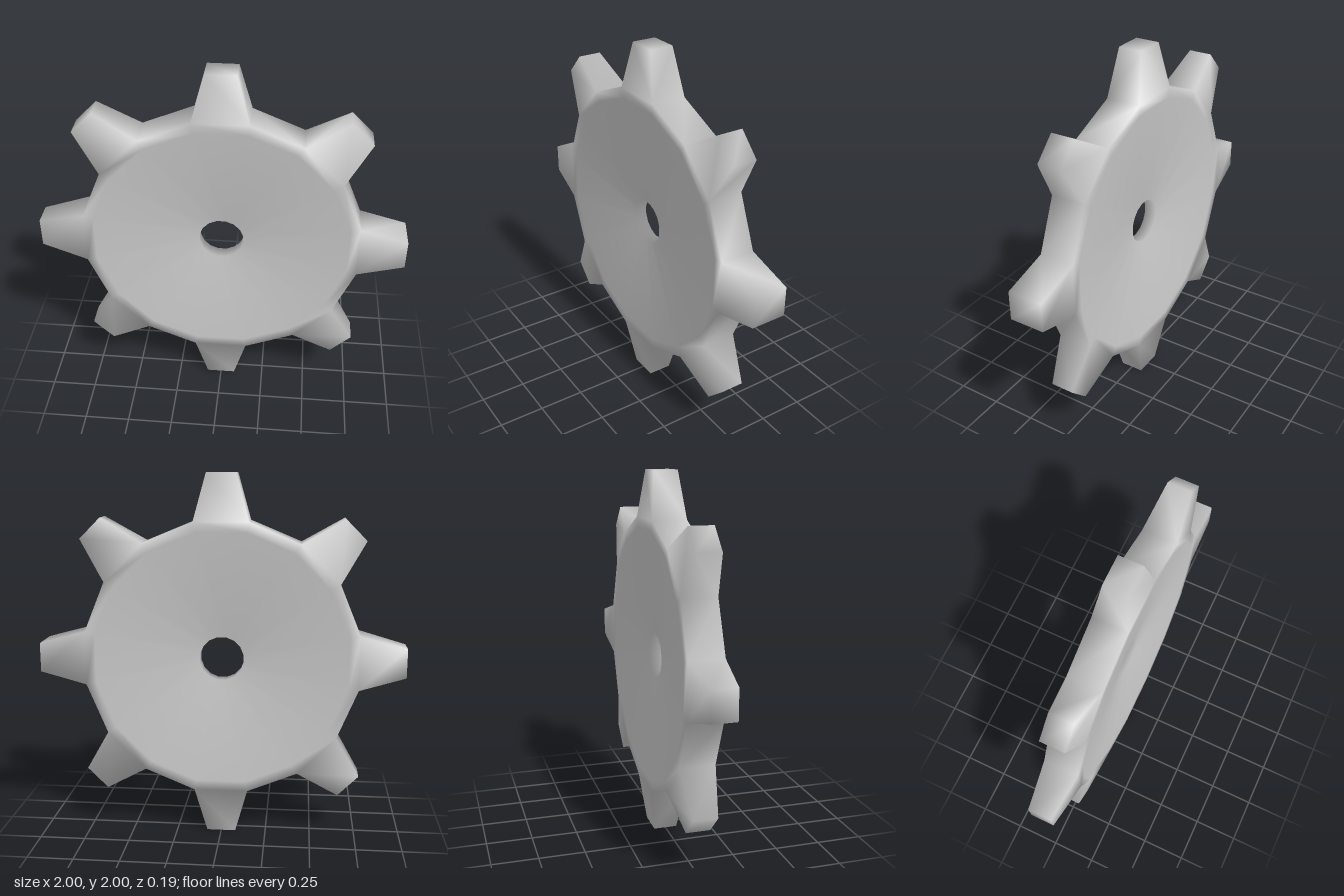
import * as THREE from 'three';

const TEETH = 8, SEGMENTS = TEETH * 2;
// closed cross-section of the wheel as [radius, z]: hub, rim, root, and back again
const PROFILE = [[0.122, 0.035], [0.705, 0.095], [0.761, 0.095],
  [0.761, -0.095], [0.705, -0.095], [0.122, -0.035]];
const ROOT_FRONT = 2, ROOT_BACK = 3;
const TIP_HALF_WIDTH = 0.08, TIP_HALF_DEPTH = 0.065, ROOT_HALF_DEPTH = 0.095;

function gearGeometry() {
  const positions = [], index = [];
  const vertex = (x, y, z) => positions.push(x, y, z) / 3 - 1;
  const quad = (a, b, c, d) => index.push(a, b, c, a, c, d);

  // rings of wheel vertices, half a step off so each tooth sits on its axis
  for (let j = 0; j < SEGMENTS; j++) {
    const a = (j - 0.5) * 2 * Math.PI / SEGMENTS;
    for (const [r, z] of PROFILE) vertex(r * Math.cos(a), r * Math.sin(a), z);
  }
  const n = PROFILE.length;
  const ring = (j, p) => (j % SEGMENTS) * n + (p % n);

  for (let j = 0; j < SEGMENTS; j++) {
    const isTooth = j % 2 === 0;
    // dished faces, hub bore, and the root wall in the gaps
    for (let p = 0; p < n; p++) {
      if (isTooth && p === ROOT_FRONT) continue;
      quad(ring(j, p), ring(j, p + 1), ring(j + 1, p + 1), ring(j + 1, p));
    }
    if (!isTooth) continue;

    // tooth: narrows to its tip; the one on +x keeps its full depth
    const a = j * 2 * Math.PI / SEGMENTS, c = Math.cos(a), s = Math.sin(a);
    const depth = j === 0 ? ROOT_HALF_DEPTH : TIP_HALF_DEPTH;
    const tip = (w, z) => vertex(c - s * w, s + c * w, z);
    const f0 = tip(-TIP_HALF_WIDTH, depth), f1 = tip(TIP_HALF_WIDTH, depth);
    const b0 = tip(-TIP_HALF_WIDTH, -depth), b1 = tip(TIP_HALF_WIDTH, -depth);
    const rf0 = ring(j, ROOT_FRONT), rf1 = ring(j + 1, ROOT_FRONT);
    const rb0 = ring(j, ROOT_BACK), rb1 = ring(j + 1, ROOT_BACK);
    quad(rf0, f0, f1, rf1);
    quad(f0, b0, b1, f1);
    quad(b0, rb0, rb1, b1);
    quad(rf0, rb0, b0, f0);
    quad(rf1, f1, b1, rb1);
  }

  const geometry = new THREE.BufferGeometry();
  geometry.setAttribute('position', new THREE.Float32BufferAttribute(positions, 3));
  geometry.setIndex(index);
  geometry.computeVertexNormals();
  return geometry;
}

export function createModel() {
  const group = new THREE.Group();
  group.name = 'gear';
  const wheel = new THREE.Mesh(gearGeometry(), new THREE.MeshStandardMaterial({ color: 0xcccccc }));
  wheel.name = 'toothedWheel';
  wheel.position.y = 1;
  group.add(wheel);
  return group;
}
